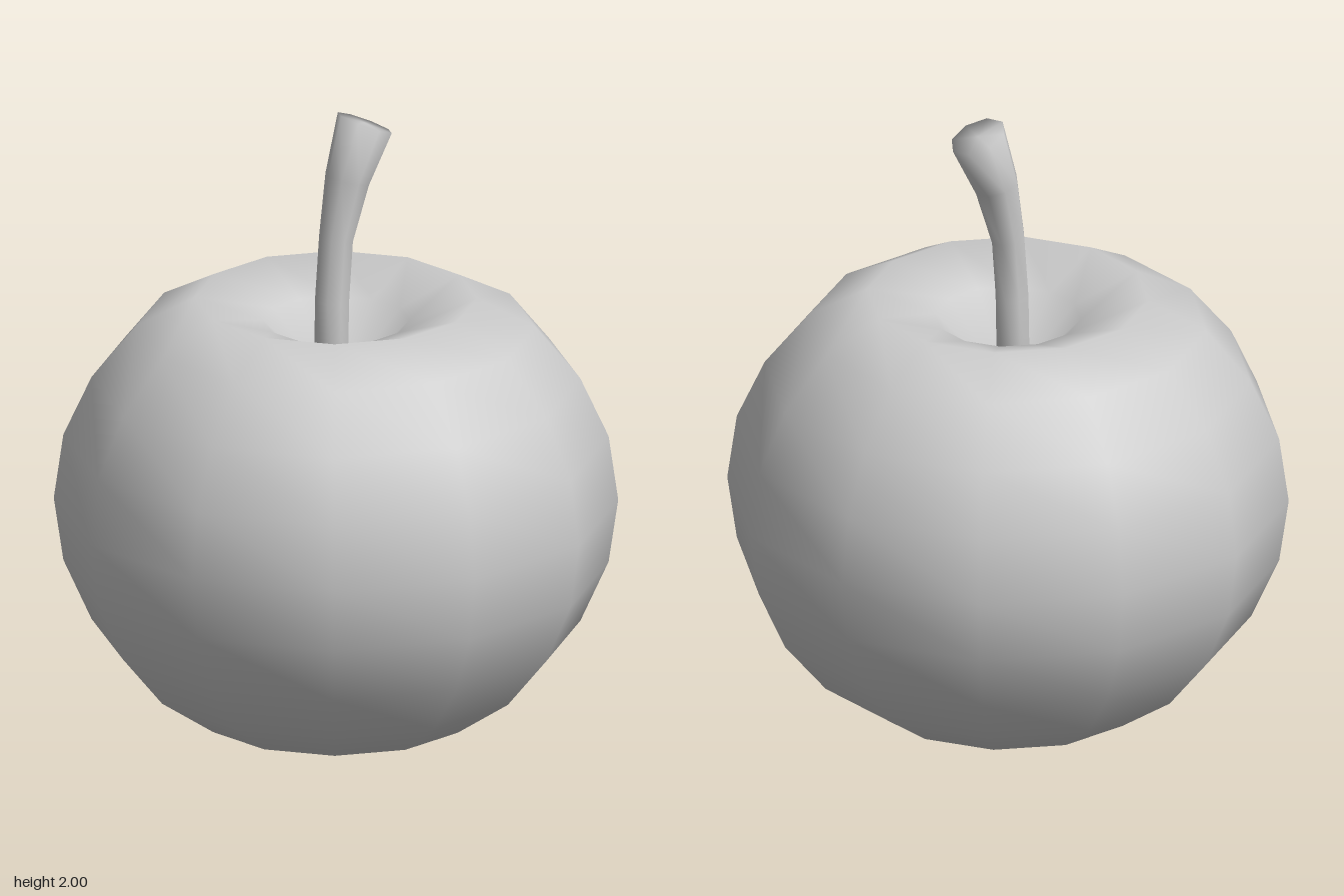
import * as THREE from 'three';
import { mergeVertices } from 'three/addons/utils/BufferGeometryUtils.js';

// Share vertices across seams and caps so the whole surface shades smoothly
function weld(geometry) {
  geometry.deleteAttribute('uv');
  geometry.deleteAttribute('normal');
  const welded = mergeVertices(geometry, 1e-4);
  welded.computeVertexNormals();
  return welded;
}

function createBody() {
  // Profile from the sunken base up to the dimple around the stem
  const heights = [0.06, 0.005, 0.045, 0.17, 0.34, 0.535, 0.74, 0.95, 1.14, 1.31, 1.405, 1.33, 1.1];
  const profile = heights.map((y, i) =>
    new THREE.Vector2(i === 0 || i === 12 ? 0 : 0.88 * Math.sin((i * Math.PI) / 12), y));
  return weld(new THREE.LatheGeometry(profile, 12));
}

function createStem() {
  // Sections: centre x, centre y, lean in radians, radius (0 closes an end)
  const sections = [
    [-0.02, 1.05, 0, 0],
    [-0.02, 1.05, 0, 0.055],
    [-0.014, 1.4, 0.06, 0.055],
    [0, 1.6, 0.14, 0.055],
    [0.04, 1.79, 0.28, 0.072],
    [0.103, 1.965, 0.4, 0.092],
    [0.103, 1.965, 0.4, 0],
  ];
  const profile = sections.map(([, , , r], i) => new THREE.Vector2(r, i));
  const geometry = new THREE.LatheGeometry(profile, 8);
  const pos = geometry.attributes.position;
  // Bend the straight lathe along the leaning sections
  for (let i = 0; i < pos.count; i++) {
    const [cx, cy, lean] = sections[Math.round(pos.getY(i))];
    const x = pos.getX(i);
    pos.setXY(i, cx + x * Math.cos(lean), cy - x * Math.sin(lean));
  }
  return weld(geometry);
}

export function createModel() {
  const group = new THREE.Group();
  group.name = 'apple';
  const material = new THREE.MeshStandardMaterial({ color: 0xcccccc });

  const body = new THREE.Mesh(createBody(), material);
  body.name = 'body';
  const stem = new THREE.Mesh(createStem(), material);
  stem.name = 'stem';

  group.add(body, stem);
  return group;
}
